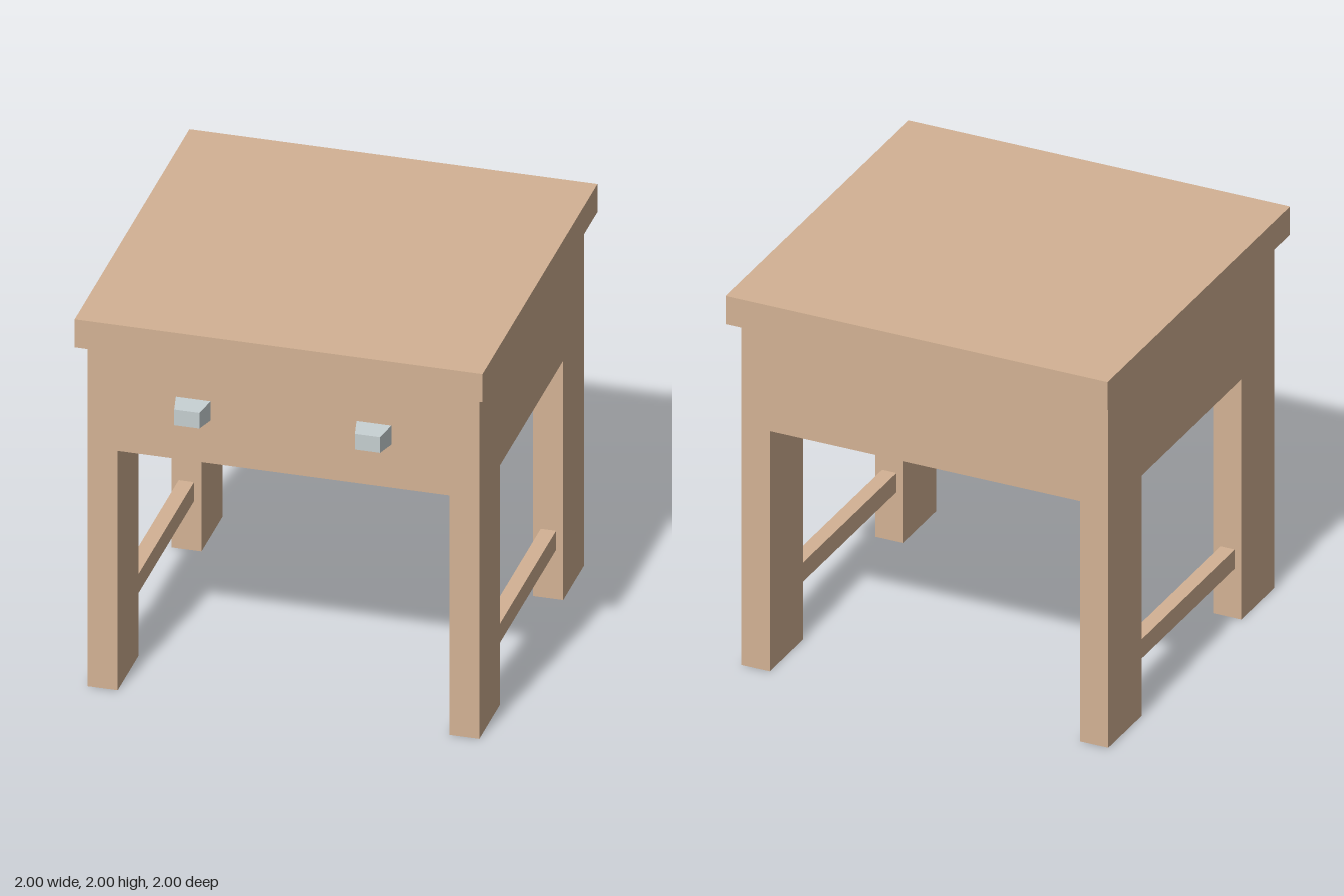
import * as THREE from 'three';

const wood = new THREE.MeshStandardMaterial({ color: 0xd3b294, flatShading: true });
const metal = new THREE.MeshStandardMaterial({ color: 0xc5ced0, flatShading: true });

// Box given by its extents along each axis
function block(name, [x0, x1], [y0, y1], [z0, z1], material = wood) {
  const mesh = new THREE.Mesh(new THREE.BoxGeometry(x1 - x0, y1 - y0, z1 - z0), material);
  mesh.position.set((x0 + x1) / 2, (y0 + y1) / 2, (z0 + z1) / 2);
  mesh.name = name;
  return mesh;
}

// Handle: a block whose front end tapers
function handle(name, x) {
  const mesh = block(name, [x - 0.085, x + 0.085], [1.51, 1.612], [0.89, 1], metal);
  const p = mesh.geometry.attributes.position;
  for (let i = 0; i < p.count; i++) {
    if (p.getZ(i) > 0) p.setXY(i, p.getX(i) * 0.73, p.getY(i) * 0.82);
  }
  mesh.geometry.computeVertexNormals();
  return mesh;
}

export function createModel() {
  const group = new THREE.Group();
  group.name = 'sideTable';

  group.add(block('tableTop', [-1, 1], [1.85, 2], [-1, 0.975]));
  group.add(block('drawerBody', [-0.96, 0.96], [1.28, 1.85], [-0.91, 0.89]));

  for (const [side, s] of [['left', 1], ['right', -1]]) {
    const span = (a, b) => (s > 0 ? [a, b] : [-b, -a]);
    // Legs, deeper than they are wide
    group.add(block(side + 'FrontLeg', span(0.813, 0.96), [0, 1.28], [0.532, 0.89]));
    group.add(block(side + 'BackLeg', span(0.813, 0.96), [0, 1.28], [-0.91, -0.552]));
    // Low rail joining front and back legs
    group.add(block(side + 'Rail', span(0.85, 0.925), [0.263, 0.365], [-0.552, 0.532]));
    group.add(handle(side + 'Handle', s * 0.443));
  }
  return group;
}
